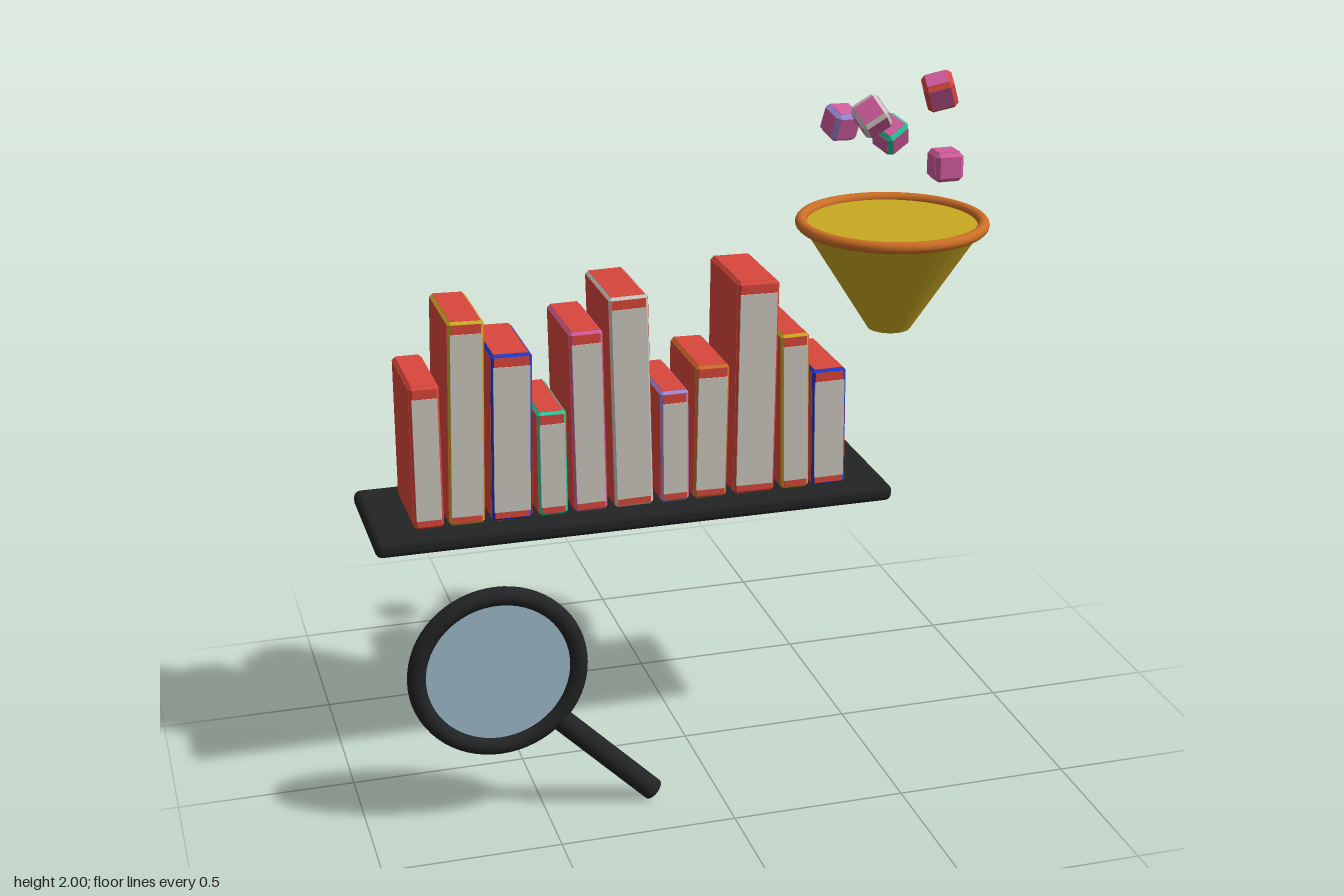
import * as THREE from 'three';
import { RoundedBoxGeometry } from 'three/addons/geometries/RoundedBoxGeometry.js';
import { ConvexGeometry } from 'three/addons/geometries/ConvexGeometry.js';

const COLORS = {
  red: 0xd9463b, black: 0x222324, gold: 0xc9a820, orange: 0xcc6e26, glass: 0x9dbacb,
  paper: 0xcac6be, pink: 0xcf5c9b, blue: 0x2038cc, green: 0x28c898, lavender: 0x9c88d8,
};

export function createModel() {
  const mats = {};
  for (const [name, color] of Object.entries(COLORS)) {
    mats[name] = new THREE.MeshStandardMaterial({ color });
    mats[name].name = name;
  }
  const model = new THREE.Group();
  model.name = 'shelfFunnelAndMagnifier';

  const add = (parent, name, geometry, mat, x = 0, y = 0, z = 0) => {
    const mesh = new THREE.Mesh(geometry, mats[mat]);
    mesh.name = name;
    mesh.position.set(x, y, z);
    parent.add(mesh);
    return mesh;
  };

  // Chamfered block: the bevels take the trim colour, the flat sides the face colour
  const trimmedBlock = (name, w, h, d, bevel, face, trim) => {
    const group = new THREE.Group();
    group.name = name;
    const size = [w / 2, h / 2, d / 2];
    const points = [];
    for (const sx of [-1, 1]) for (const sy of [-1, 1]) for (const sz of [-1, 1]) {
      const s = [sx, sy, sz];
      for (let outer = 0; outer < 3; outer++) {
        points.push(new THREE.Vector3(...size.map((v, i) => s[i] * (i === outer ? v : v - bevel))));
      }
    }
    add(group, 'trim', new ConvexGeometry(points), trim);
    for (let axis = 0; axis < 3; axis++) {
      const box = size.map((v, i) => 2 * (i === axis ? v + 0.001 : v - bevel));
      add(group, 'sides', new THREE.BoxGeometry(...box), face);
    }
    return group;
  };

  // Shelf board
  add(model, 'shelf', new RoundedBoxGeometry(1.51, 0.05, 0.41, 3, 0.02), 'black', -0.165, 0.78, -0.073);

  // Row of books: x, width, height, lean, trim colour
  const books = [
    [-0.759, 0.083, 0.42, 0, 'red'],
    [-0.645, 0.1, 0.595, -0.025, 'gold'],
    [-0.519, 0.115, 0.49, -0.02, 'blue'],
    [-0.405, 0.083, 0.31, 0, 'green'],
    [-0.3, 0.095, 0.535, 0.015, 'pink'],
    [-0.176, 0.112, 0.625, 0.02, 'paper'],
    [-0.05, 0.082, 0.335, 0.005, 'lavender'],
    [0.058, 0.097, 0.4, -0.02, 'orange'],
    [0.19, 0.12, 0.635, -0.015, 'red'],
    [0.307, 0.083, 0.47, 0.015, 'gold'],
    [0.41, 0.1, 0.355, 0.01, 'blue'],
  ];
  const depth = 0.276;
  books.forEach(([x, w, h, lean, trim], i) => {
    const book = trimmedBlock(`book${i + 1}`, w, h, depth, 0.008, 'red', trim);
    book.position.set(x, 0.805 + h / 2, -0.067);
    book.rotation.z = lean;
    add(book, 'pages', new THREE.BoxGeometry(w - 0.012, h - 0.062, 0.006), 'paper', 0, -0.004, depth / 2);
    model.add(book);
  });

  // Funnel: faceted cone, filled top and rounded rim
  const funnel = new THREE.Group();
  funnel.name = 'funnel';
  funnel.position.set(0.64, 0, -0.073);
  model.add(funnel);
  const cone = new THREE.CylinderGeometry(0.262, 0.062, 0.315, 32).toNonIndexed();
  cone.computeVertexNormals();
  add(funnel, 'funnelCone', cone, 'gold', 0, 1.3775, 0);
  add(funnel, 'funnelRim', new THREE.TorusGeometry(0.262, 0.017, 12, 48), 'orange', 0, 1.537, 0).rotation.x = Math.PI / 2;

  // Cubes falling in a ring above the funnel: position, rotation, trim colour
  const cubes = [
    [0.797, 1.695, -0.073, 0, 0, 0, 'pink'],
    [0.684, 1.757, -0.222, 0.45, 0.5, 0.3, 'green'],
    [0.506, 1.82, -0.155, 0.3, 0.2, -0.15, 'lavender'],
    [0.525, 1.88, 0.04, 0.7, 0.3, 0.5, 'paper'],
    [0.713, 1.945, 0.067, 0.35, -0.2, 0.35, 'red'],
  ];
  cubes.forEach(([x, y, z, rx, ry, rz, trim], i) => {
    const cube = trimmedBlock(`cube${i + 1}`, 0.084, 0.084, 0.084, 0.011, 'pink', trim);
    cube.position.set(x, y, z);
    cube.rotation.set(rx, ry, rz);
    model.add(cube);
  });

  // Magnifying glass: frame, lens and diagonal handle
  const magnifier = new THREE.Group();
  magnifier.name = 'magnifyingGlass';
  magnifier.position.set(-0.627, 0.466, 0.315);
  magnifier.rotation.z = Math.PI / 4;
  model.add(magnifier);
  add(magnifier, 'frame', new THREE.TorusGeometry(0.227, 0.026, 16, 64), 'black');
  add(magnifier, 'lens', new THREE.CylinderGeometry(0.22, 0.22, 0.01, 48), 'glass').rotation.x = Math.PI / 2;
  add(magnifier, 'handle', new THREE.CylinderGeometry(0.032, 0.032, 0.385, 24), 'black', 0, -0.4275, 0);

  return model;
}
